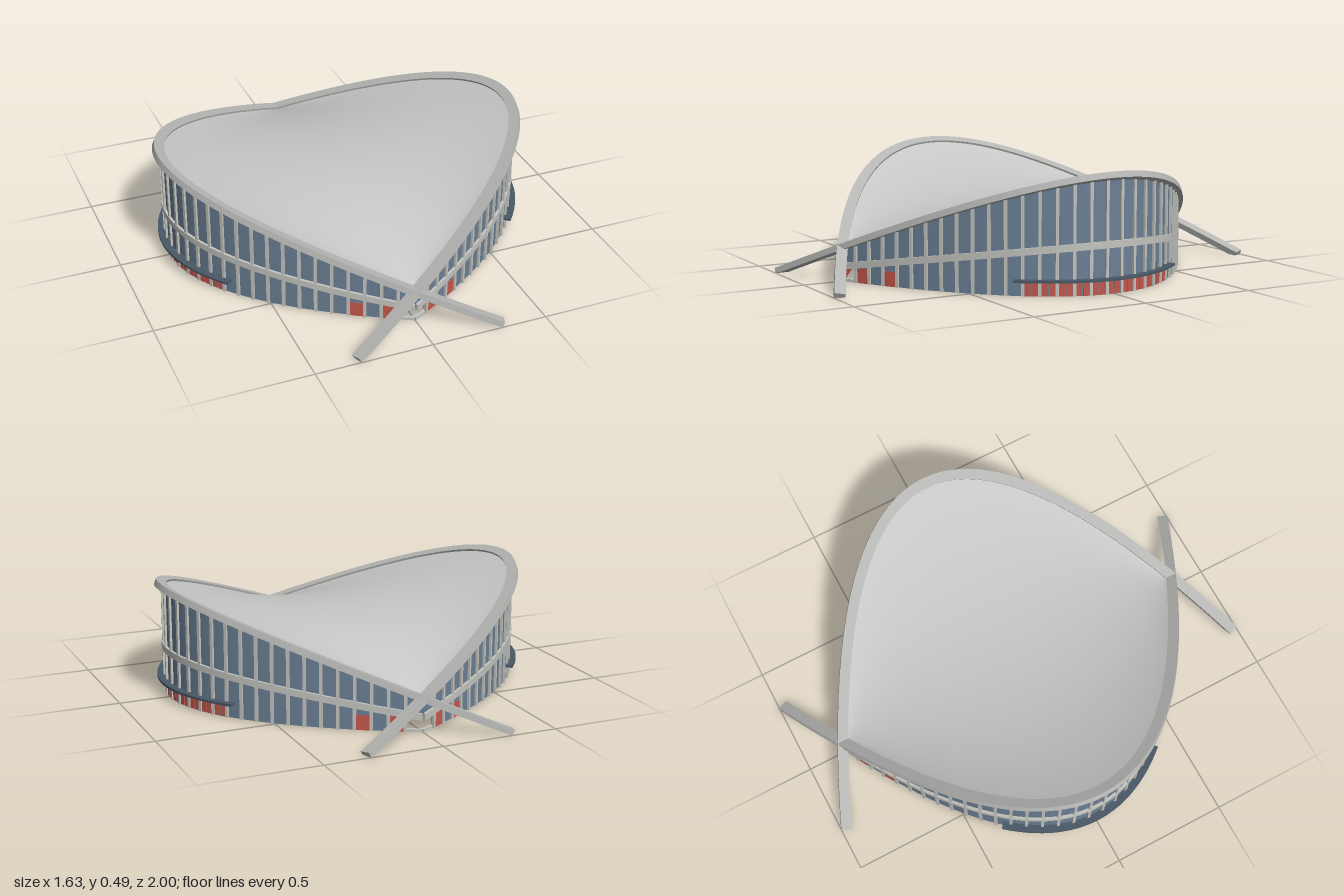
import * as THREE from 'three';
import { toCreasedNormals } from 'three/addons/utils/BufferGeometryUtils.js';

const mat = (name, color, side = THREE.FrontSide) => {
  const m = new THREE.MeshStandardMaterial({ color, side });
  m.name = name;
  return m;
};

const BAYS = 35;
const SLOPE = 0.42, CROSS_Y = 0.14;
const archY = x => CROSS_Y + SLOPE * x;      // the leaning plane of each arch
const railY = x => 0.05 + 0.175 * x;         // underside of the sloping rail
const V = (x, y, z) => new THREE.Vector3(x, y, z);

// Parabolas: the arch in its leaning plane, and the wall on the ground
const archCurve = new THREE.QuadraticBezierCurve3(
  V(-0.311, archY(-0.311), -1), V(1.931, archY(1.931), 0), V(-0.311, archY(-0.311), 1));
const wallCurve = new THREE.QuadraticBezierCurve3(V(0, 0, -0.82), V(1.55, 0, 0), V(0, 0, 0.82));

// Skin closed cross-sections (counter-clockwise seen from the far end) and cap both ends
function loft(rings) {
  const k = rings[0].length, n = rings.length, index = [];
  for (let i = 0; i < n - 1; i++) {
    for (let j = 0; j < k; j++) {
      const a = i * k + j, b = i * k + (j + 1) % k, c = b + k, d = a + k;
      index.push(a, b, c, a, c, d);
    }
  }
  const e = (n - 1) * k;
  for (let j = 1; j < k - 1; j++) index.push(0, j + 1, j, e, e + j, e + j + 1);
  const g = new THREE.BufferGeometry();
  g.setAttribute('position', new THREE.Float32BufferAttribute(rings.flat().flatMap(p => p.toArray()), 3));
  g.setIndex(index);
  return toCreasedNormals(g, 0.6);
}

function wallFrame(u) {
  const p = wallCurve.getPointAt(u), t = wallCurve.getTangentAt(u);
  return { p, out: V(t.z, 0, -t.x) };
}

// A band that follows the wall between two offsets and two heights (functions of x)
function wallBand(u0, u1, inner, outer, low, high) {
  const steps = Math.max(2, Math.ceil((u1 - u0) * BAYS * 2)), rings = [];
  for (let i = 0; i <= steps; i++) {
    const { p, out } = wallFrame(u0 + (u1 - u0) * i / steps);
    const at = (o, y) => p.clone().addScaledVector(out, o).setY(y);
    const lo = low(p.x), hi = high(p.x);
    rings.push([at(inner, lo), at(outer, lo), at(outer, hi), at(inner, hi)]);
  }
  return loft(rings);
}

// Flat beam swept along the arch, its width lying in the leaning plane
function archGeometry() {
  const a = Math.atan(SLOPE), up = V(-Math.sin(a), Math.cos(a), 0), rings = [];
  for (let i = 0; i <= 96; i++) {
    const p = archCurve.getPointAt(i / 96);
    const out = up.clone().cross(archCurve.getTangentAt(i / 96));
    rings.push([[-0.045, -0.013], [0, -0.013], [0, 0.013], [-0.045, 0.013]].map(([o, h]) => {
      const q = p.clone().addScaledVector(out, o).addScaledVector(up, h);
      return q.setY(Math.max(0, q.y));
    }));
  }
  return loft(rings);
}

// Saddle roof hung between the two arches
function roofGeometry() {
  const g = new THREE.PlaneGeometry(2, 2, 40, 64).rotateX(-Math.PI / 2);
  const pos = g.attributes.position;
  for (let i = 0; i < pos.count; i++) {
    const s = pos.getX(i), w = Math.sin(pos.getZ(i) * Math.PI / 2);
    const half = 0.775 * (1 - w * w);
    const middle = 0.31 - 0.17 * w * w;
    pos.setXYZ(i, half * s, middle + (archY(half) + 0.004 - middle) * s * s, 0.81 * w);
  }
  g.computeVertexNormals();
  return g;
}

export function createModel() {
  const roofMat = mat('roof grey', 0xc6c8c6, THREE.DoubleSide);
  const concrete = mat('concrete', 0xb6b7b5);
  const frame = mat('frame grey', 0xc4c4c0);
  const glass = mat('blue glass', 0x6b8095);
  const canopyMat = mat('canopy slate', 0x4a5866);
  const red = mat('door red', 0xc4574c);

  const add = (parent, name, geometry, material) => {
    const mesh = new THREE.Mesh(geometry, material);
    mesh.name = name;
    parent.add(mesh);
    return mesh;
  };
  const ground = () => 0;

  function buildSide(name) {
    const side = new THREE.Group();
    side.name = name;
    const b = i => i / BAYS;

    add(side, 'arch', archGeometry(), concrete);

    // Glass above and below the rail; the lower part stops short of the corners
    add(side, 'upperGlass', wallBand(0, 1, -0.003, 0.003, x => railY(x) + 0.01, x => archY(x) - 0.004), glass);
    add(side, 'lowerGlass', wallBand(b(1), b(34), -0.003, 0.003, ground, x => railY(x) + 0.01), glass);
    add(side, 'rail', wallBand(0, 1, -0.006, 0.014, railY, x => railY(x) + 0.028), frame);

    // Vertical mullions on the outside
    for (let i = 1; i < BAYS; i++) {
      const { p, out } = wallFrame(b(i));
      const h = archY(p.x) - 0.008;
      const m = add(side, 'mullion', new THREE.BoxGeometry(0.013, h, 0.012), frame);
      m.position.copy(p).addScaledVector(out, 0.006).setY(h / 2);
      m.rotation.y = Math.atan2(out.x, out.z);
    }

    // Low sills across the open corners
    for (const i of [0, 34]) {
      add(side, 'sill', wallBand(b(i), b(i + 1), -0.006, 0.006, ground, () => 0.012), frame);
    }

    // Curved canopy over the main entrance, with a row of doors below
    add(side, 'canopy', wallBand(b(11.5), b(23.5), 0.002, 0.037, () => 0.058, () => 0.068), canopyMat);
    for (let i = 12; i <= 22; i++) {
      for (const s of [0.1, 0.54]) {
        add(side, 'entranceDoor', wallBand(b(i + s), b(i + s + 0.36), 0.002, 0.006, ground, () => 0.053), red);
      }
    }

    // Doors near the corners, seen from both sides
    for (const i of [1, 3, 31, 33]) {
      add(side, 'cornerDoor', wallBand(b(i), b(i + 1), 0.002, 0.006, ground, () => 0.062), red);
    }
    for (const i of [1, 31]) {
      add(side, 'cornerDoorInside', wallBand(b(i), b(i + 3), -0.006, -0.002, ground, () => 0.062), red);
    }
    return side;
  }

  const model = new THREE.Group();
  model.name = 'arena';
  add(model, 'roof', roofGeometry(), roofMat);
  const left = buildSide('leftSide'), right = buildSide('rightSide');
  right.rotation.y = Math.PI;
  model.add(left, right);
  return model;
}
